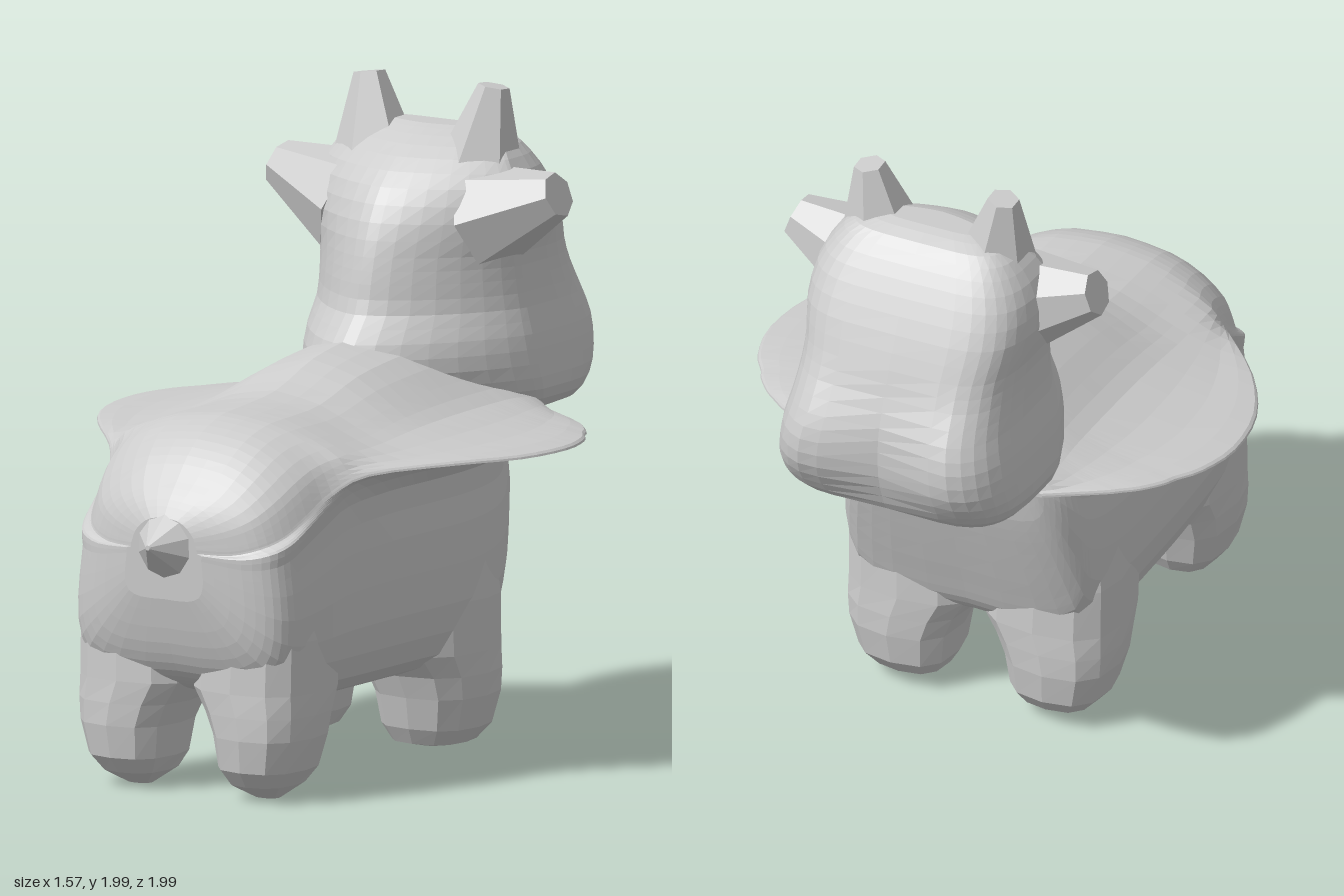
import * as THREE from 'three';

const mat = new THREE.MeshStandardMaterial({ color: 0xcccccc, flatShading: true });

// Skin closed rings (counter-clockwise about the travel direction) and cap both ends.
function loft(name, rings) {
  const n = rings[0].length, last = (rings.length - 1) * n;
  const pts = rings.flat(), idx = [];
  for (let i = 0; i < rings.length - 1; i++) {
    for (let j = 0; j < n; j++) {
      const a = i * n + j, b = i * n + (j + 1) % n;
      idx.push(a, b, b + n, a, b + n, a + n);
    }
  }
  const mean = r => r.reduce((s, p) => s.add(p), new THREE.Vector3()).divideScalar(n);
  const c0 = pts.push(mean(rings[0])) - 1;
  const c1 = pts.push(mean(rings[rings.length - 1])) - 1;
  for (let j = 0; j < n; j++) {
    const k = (j + 1) % n;
    idx.push(c0, k, j, c1, last + j, last + k);
  }
  const g = new THREE.BufferGeometry().setFromPoints(pts);
  g.setIndex(idx);
  g.computeVertexNormals();
  const mesh = new THREE.Mesh(g, mat);
  mesh.name = name;
  return mesh;
}

// Cubic (Catmull-Rom) resampling of a table of stations, column by column.
function smooth(rows, steps) {
  const out = [];
  for (let i = 0; i < rows.length - 1; i++) {
    const p = rows[i], q = rows[i + 1], before = rows[i - 1] || p, after = rows[i + 2] || q;
    for (let s = 0; s < steps; s++) {
      const t = s / steps;
      out.push(p.map((v, c) => {
        const m0 = (q[c] - before[c]) / 2, m1 = (after[c] - v) / 2, d = q[c] - v;
        return v + d * t + t * (1 - t) * ((m0 - d) * (1 - t) - (m1 - d) * t);
      }));
    }
  }
  out.push(rows[rows.length - 1]);
  return out;
}

const power = (v, e) => Math.sign(v) * Math.abs(v) ** e;
const mix = THREE.MathUtils.lerp;

// Body section: belly, flank, thin flared mantle rim, then a back that rounds out at the rump.
function bodyRing([z, flank, rim, belly, rimY, top]) {
  const round = THREE.MathUtils.smoothstep(z, 0.3, 0.7);
  const up = t => mix(belly, rimY, t);
  const rise = (flared, domed) => mix(rimY, top, mix(flared, domed, round));
  const shoulder = Math.min(0.39, rim * 0.88);
  const half = [
    [0, belly], [flank * 0.6, belly], [flank * 0.9, up(0.1)], [flank, up(0.32)],
    [flank * 0.99, up(0.65)], [flank * 0.96, up(0.86)], [mix(flank, rim, 0.25), up(0.965)],
    [mix(flank, rim, 0.6), up(0.985)], [rim, rimY], [rim * 0.985, rimY + 0.012],
    [mix(shoulder, rim, 0.55), rise(0.11, 0.24)], [shoulder, rise(0.27, 0.46)],
    [Math.min(0.29, rim * 0.68), rise(0.5, 0.74)],
    [Math.min(0.16, rim * 0.4), rise(0.83, 0.93)], [0, top],
  ].map(([x, y]) => new THREE.Vector3(x, y, z));
  const right = new THREE.CatmullRomCurve3(half, false, 'centripetal').getPoints(28);
  const left = right.slice(1, -1).reverse().map(p => new THREE.Vector3(-p.x, p.y, p.z));
  return [...right, ...left];
}

function body() {
  const rows = [
    [-0.6, 0.22, 0.38, 0.98, 1.0, 1.14], [-0.5, 0.28, 0.54, 0.94, 1.0, 1.22],
    [-0.47, 0.32, 0.58, 0.8, 1.0, 1.24], [-0.43, 0.36, 0.63, 0.66, 1.0, 1.26],
    [-0.37, 0.395, 0.68, 0.47, 1.0, 1.27], [-0.33, 0.41, 0.7, 0.37, 1.0, 1.27],
    [-0.25, 0.425, 0.75, 0.31, 1.0, 1.27], [-0.1, 0.435, 0.785, 0.28, 1.0, 1.26],
    [0.1, 0.435, 0.755, 0.28, 1.0, 1.23], [0.3, 0.43, 0.645, 0.28, 1.0, 1.165],
    [0.5, 0.415, 0.47, 0.28, 0.98, 1.145], [0.6, 0.405, 0.405, 0.29, 0.93, 1.135],
    [0.7, 0.395, 0.38, 0.31, 0.87, 1.1], [0.78, 0.385, 0.35, 0.34, 0.82, 1.04],
    [0.84, 0.35, 0.3, 0.39, 0.79, 0.97], [0.88, 0.27, 0.22, 0.48, 0.77, 0.92],
    [0.91, 0.14, 0.12, 0.62, 0.77, 0.87],
  ];
  return loft('body', smooth(rows, 3).map(bodyRing));
}

// Head and neck: broad square face at one end, wedge-shaped throat at the other.
function head() {
  const rows = [
    // y, half width, face z, throat z, widest z, muzzle dent
    [0.99, 0.28, -0.83, -0.4, -0.6, 0], [1.02, 0.37, -0.9, -0.3, -0.58, 0.01],
    [1.08, 0.405, -0.95, -0.1, -0.55, 0.03], [1.16, 0.4, -0.995, -0.03, -0.53, 0.05],
    [1.25, 0.385, -1.0, -0.06, -0.52, 0.05], [1.33, 0.365, -0.97, -0.13, -0.52, 0.03],
    [1.42, 0.355, -0.915, -0.155, -0.51, 0.01], [1.5, 0.355, -0.875, -0.175, -0.5, 0],
    [1.6, 0.37, -0.83, -0.21, -0.48, 0], [1.7, 0.355, -0.775, -0.27, -0.48, 0],
    [1.78, 0.31, -0.72, -0.36, -0.5, 0], [1.835, 0.25, -0.665, -0.45, -0.54, 0],
    [1.86, 0.16, -0.6, -0.51, -0.55, 0],
  ];
  return loft('head', smooth(rows, 2).map(([y, w, face, throat, mid, dent]) =>
    Array.from({ length: 36 }, (_, i) => {
      const a = i / 36 * Math.PI * 2, c = Math.cos(a), s = Math.sin(a);
      const x = w * power(c, s > 0 ? 0.42 : 1.3);
      const z = s > 0
        ? mix(mid, face, s ** 0.55) + dent * Math.max(0, 1 - (x / 0.22) ** 2)
        : mix(mid, throat, (-s) ** 1.5);
      return new THREE.Vector3(x, y, z);
    })));
}

// Stubby leg with a faceted rounded foot; dir points to the outer end of the body.
function leg(name, side, dir, z0, foot, width) {
  const rows = [
    // y, inner x, outer x, reach toward the middle, reach outward
    [foot, 0.19, 0.27, 0.03, 0.03], [0.05, 0.13, 0.82 * width, 0.12, 0.12],
    [0.1, 0.1, 0.92 * width, 0.15, 0.16], [0.2, 0.085, 0.985 * width, 0.175, 0.175],
    [0.27, 0.055, width, 0.2, 0.175], [0.34, 0.01, width, 0.26, 0.172],
    [0.5, 0.02, width, 0.28, 0.165], [0.7, 0.06, 0.95 * width, 0.24, 0.13],
  ];
  return loft(name, rows.map(([y, x0, x1, inward, outward]) =>
    Array.from({ length: 12 }, (_, i) => {
      const a = i / 12 * Math.PI * 2;
      const x = side * (x0 + x1) / 2 + (x1 - x0) / 2 * power(Math.cos(a), 0.75);
      const s = -power(Math.sin(a), 0.75);
      return new THREE.Vector3(x, y, z0 + s * (s * dir > 0 ? outward : inward));
    })));
}

// Tapered stub running from one point to another.
function stub(name, from, to, r0, r1, sides) {
  const a = new THREE.Vector3(...from), d = new THREE.Vector3(...to).sub(a);
  const mesh = new THREE.Mesh(new THREE.CylinderGeometry(r1, r0, d.length(), sides), mat);
  mesh.position.copy(a).addScaledVector(d, 0.5);
  mesh.quaternion.setFromUnitVectors(new THREE.Vector3(0, 1, 0), d.normalize());
  mesh.name = name;
  return mesh;
}

export function createModel() {
  const model = new THREE.Group();
  model.name = 'hornedAnimal';
  model.add(body(), head());
  for (const side of [1, -1]) {
    const label = side > 0 ? 'left' : 'right';
    model.add(
      leg(label + 'TailEndLeg', side, 1, 0.69, 0.005, 0.4),
      leg(label + 'HeadEndLeg', side, -1, -0.19, 0.03, 0.445),
      stub(label + 'Ear', [side * 0.24, 1.6, -0.48], [side * 0.505, 1.695, -0.48], 0.17, 0.07, 7),
      stub(label + 'Horn', [side * 0.19, 1.75, -0.53], [side * 0.225, 1.99, -0.55], 0.13, 0.048, 6),
    );
  }
  // Short pointed tail swelling out of the rump
  model.add(stub('tail', [0, 0.78, 0.82], [0, 0.79, 1.0], 0.18, 0.008, 10));
  return model;
}
